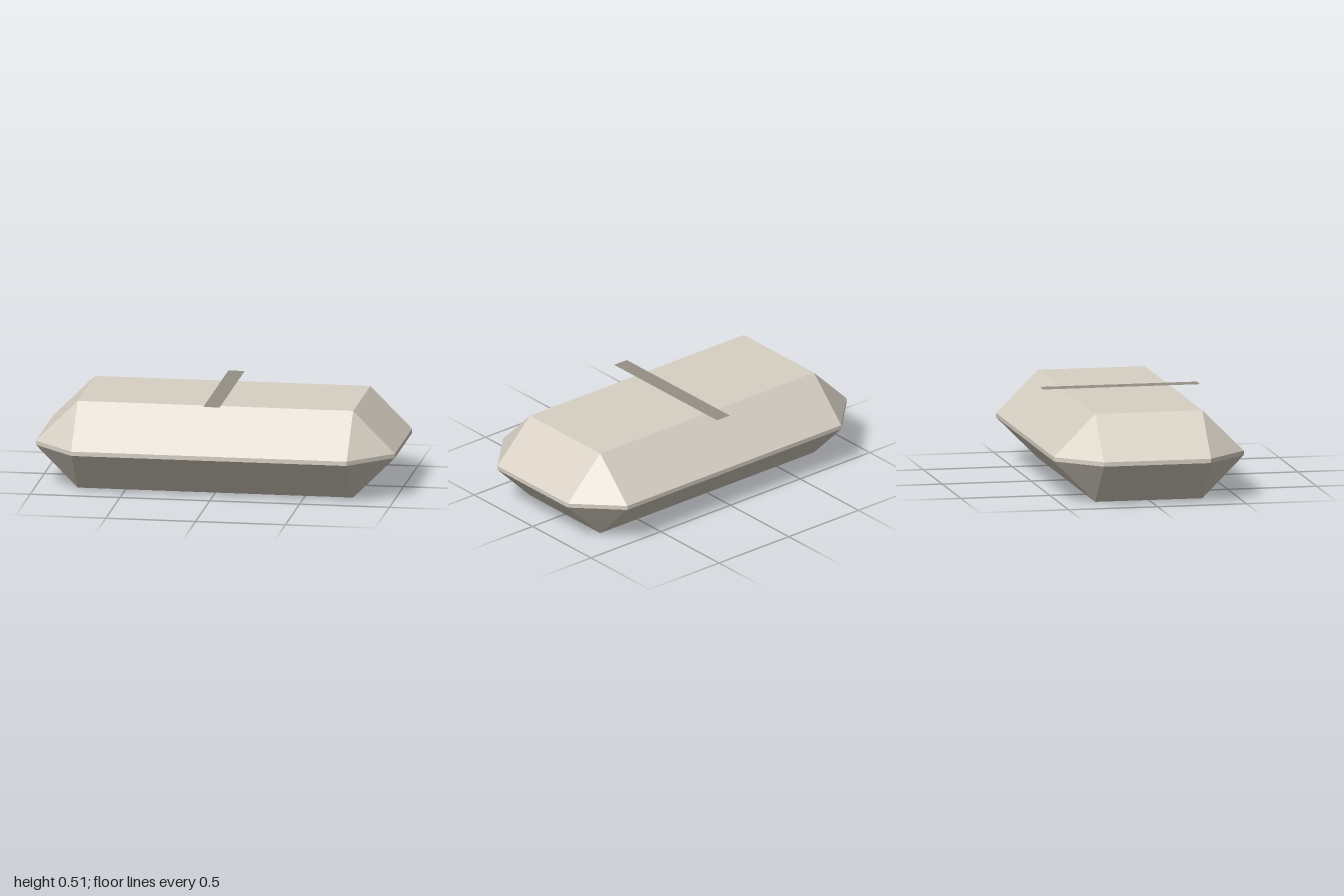
import * as THREE from 'three';
import { ConvexGeometry } from 'three/addons/geometries/ConvexGeometry.js';

export function createModel() {
  const group = new THREE.Group();

  const stone = new THREE.MeshStandardMaterial({ color: 0xd8d0c4, flatShading: true });
  stone.name = 'pale stone';
  const grey = new THREE.MeshStandardMaterial({ color: 0x949085, side: THREE.DoubleSide });
  grey.name = 'warm grey';

  // Chamfered slab: small flat top and bottom, thin eight-sided rim at mid height
  const X = 0.767, Z = 0.301, BEVEL = 0.233, TOP = 0.49;
  const points = [];
  for (const sx of [-1, 1]) {
    for (const sz of [-1, 1]) {
      for (const y of [0, TOP]) points.push(new THREE.Vector3(sx * X, y, sz * Z));
      for (const y of [BEVEL, TOP - BEVEL]) {
        points.push(new THREE.Vector3(sx * (X + BEVEL), y, sz * Z));
        points.push(new THREE.Vector3(sx * X, y, sz * (Z + BEVEL)));
      }
    }
  }
  const body = new THREE.Mesh(new ConvexGeometry(points), stone);
  body.name = 'body';
  group.add(body);

  // Flat strip hovering just above the top face, running front to back
  const strip = new THREE.Mesh(new THREE.PlaneGeometry(0.091, 0.882).rotateX(-Math.PI / 2), grey);
  strip.name = 'topStrip';
  strip.position.y = 0.515;
  group.add(strip);

  return group;
}
